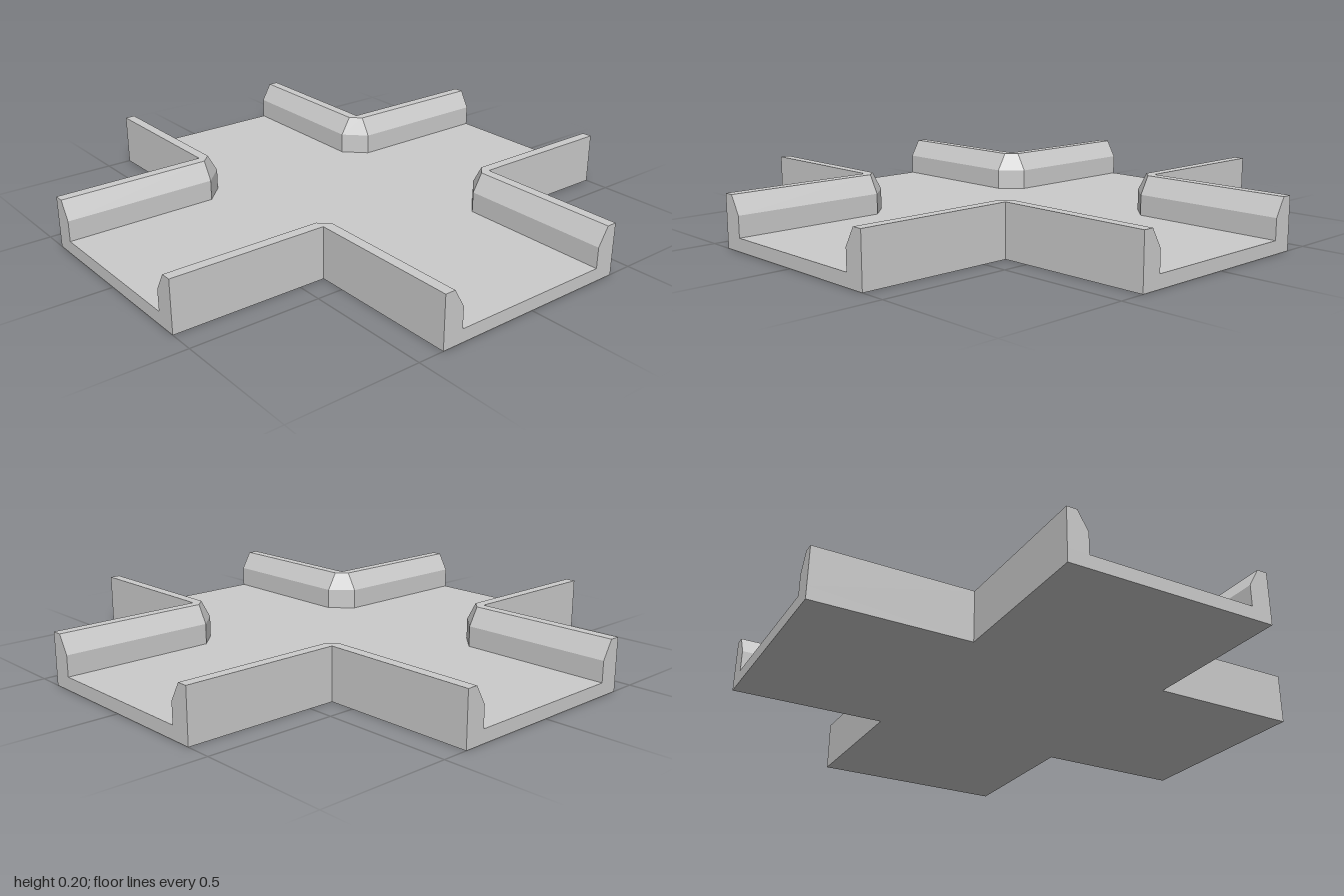
import * as THREE from 'three';

const ARM = 0.4;      // half width of each arm
const END = 1;        // reach of each arm
const FLOOR = 0.05;   // floor thickness

// Wall cross-section: [inset from the outer face, height]
const PROFILE = [[0, FLOOR], [0, 0.2], [0.04, 0.2], [0.08, 0.13], [0.08, FLOOR]];

// Cross-shaped floor slab
function floorGeometry() {
  const a = ARM, e = END;
  const outline = [
    [e, -a], [e, a], [a, a], [a, e], [-a, e], [-a, a],
    [-e, a], [-e, -a], [-a, -a], [-a, -e], [a, -e], [a, -a],
  ].map(([x, y]) => new THREE.Vector2(x, y));
  const geometry = new THREE.ExtrudeGeometry(new THREE.Shape(outline), { depth: FLOOR, bevelEnabled: false });
  return geometry.rotateX(-Math.PI / 2);
}

// L-shaped kerb swept around one inner corner, with a bevelled bend
function cornerWallGeometry() {
  const stations = [
    d => [END, ARM - d],
    d => [ARM, ARM - d],
    d => [ARM - d, ARM],
    d => [ARM - d, END],
  ];
  const rings = stations.map(place => PROFILE.map(([d, y]) => {
    const [x, z] = place(d);
    return new THREE.Vector3(x, y, z);
  }));

  const positions = [];
  const addTriangle = (a, b, c) => {
    if (new THREE.Triangle(a, b, c).getArea() < 1e-8) return;
    for (const p of [a, b, c]) positions.push(p.x, p.y, p.z);
  };

  // Long sides
  for (let s = 0; s < rings.length - 1; s++) {
    const a = rings[s], b = rings[s + 1];
    for (let i = 0; i < PROFILE.length - 1; i++) {
      addTriangle(a[i], a[i + 1], b[i]);
      addTriangle(b[i], a[i + 1], b[i + 1]);
    }
  }
  // End caps
  const first = rings[0], last = rings[rings.length - 1];
  for (let i = 1; i < PROFILE.length - 1; i++) {
    addTriangle(first[0], first[i + 1], first[i]);
    addTriangle(last[0], last[i], last[i + 1]);
  }

  const geometry = new THREE.BufferGeometry();
  geometry.setAttribute('position', new THREE.Float32BufferAttribute(positions, 3));
  geometry.computeVertexNormals();
  return geometry;
}

export function createModel() {
  const group = new THREE.Group();
  group.name = 'crossJunction';
  const material = new THREE.MeshStandardMaterial({ color: 0xcccccc, flatShading: true });

  const floor = new THREE.Mesh(floorGeometry(), material);
  floor.name = 'floor';
  group.add(floor);

  // One wall per inner corner
  const wallGeometry = cornerWallGeometry();
  ['frontLeft', 'backLeft', 'backRight', 'frontRight'].forEach((corner, i) => {
    const wall = new THREE.Mesh(wallGeometry, material);
    wall.name = corner + 'Wall';
    wall.rotation.y = i * Math.PI / 2;
    group.add(wall);
  });
  return group;
}
